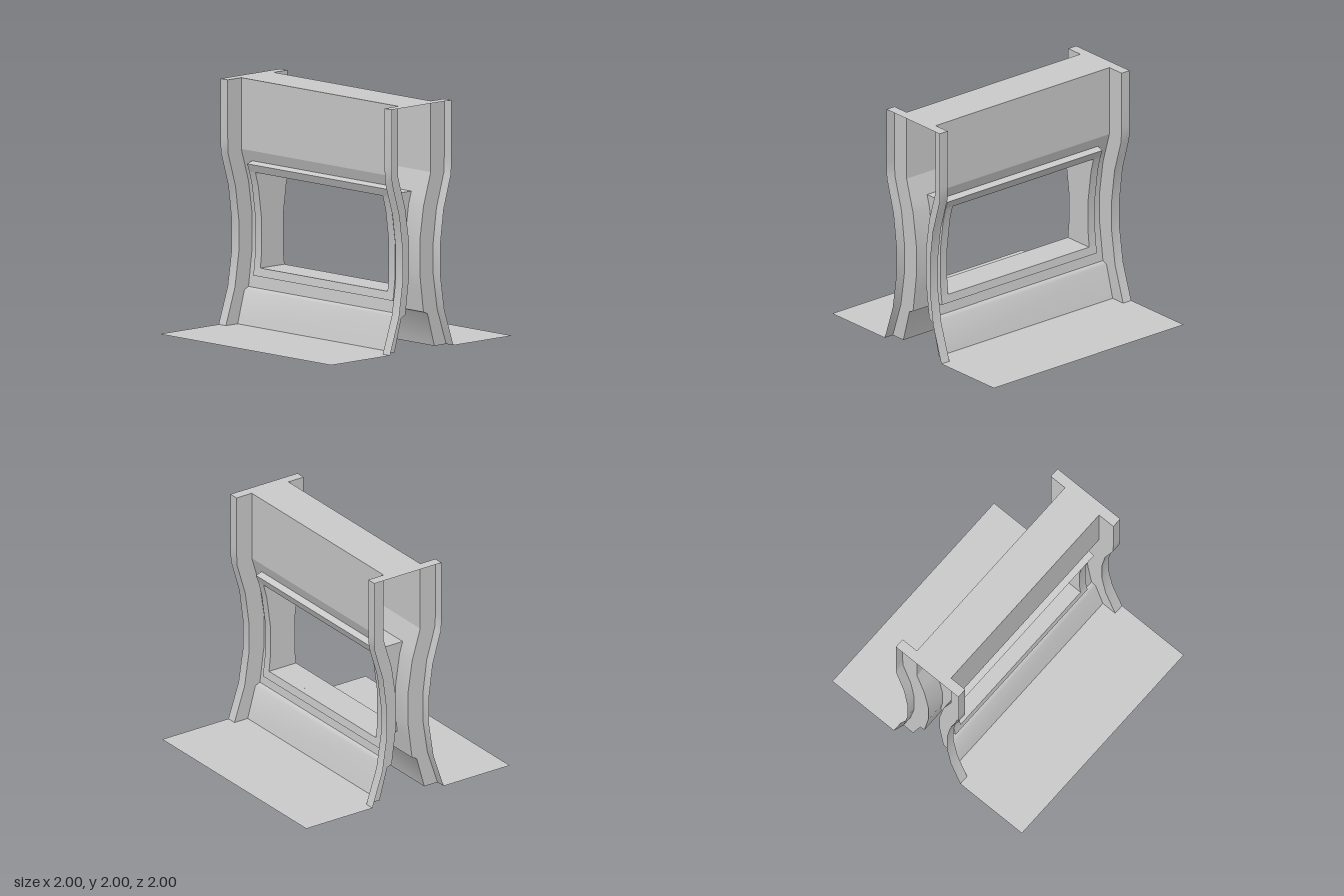
import * as THREE from 'three';

const material = new THREE.MeshStandardMaterial({ color: 0xcccccc, side: THREE.DoubleSide });

// Cross-sections as [y, z] from bottom to top
const panelCurve = [[0, 0.22], [0.27, 0.145], [0.29, 0.1], [0.6, 0.06], [0.88, 0.06], [1.15, 0.1], [1.42, 0.18], [2, 0.18]];
const pillarCurve = [[0, 0.35], [0.3, 0.25], [0.58, 0.208], [0.85, 0.208], [1.12, 0.243], [1.4, 0.325], [1.53, 0.33], [2, 0.33]];
const frameCurve = [[0.397, 0.143], [0.465, 0.133], [0.59, 0.12], [0.87, 0.12], [1.13, 0.155], [1.25, 0.187], [1.315, 0.211]];

const PANEL_X = 0.915, FRAME_X = 0.815, HOLE_X = 0.742;
const HOLE_LOW = 0.465, HOLE_HIGH = 1.25, FRAME_LOW = 0.388, FRAME_HIGH = 1.333;

function depthAt(curve, y) {
  for (let i = 1; i < curve.length; i++) {
    const [y0, z0] = curve[i - 1], [y1, z1] = curve[i];
    if (y <= y1) return z0 + (z1 - z0) * (y - y0) / (y1 - y0);
  }
  return curve[curve.length - 1][1];
}

// Part of a curve between two heights
function clip(curve, low, high) {
  const inner = curve.filter(([y]) => y > low + 1e-6 && y < high - 1e-6);
  return [[low, depthAt(curve, low)], ...inner, [high, depthAt(curve, high)]];
}

function addMesh(group, name, geometry) {
  const mesh = new THREE.Mesh(geometry, material);
  mesh.name = name;
  group.add(mesh);
  return mesh;
}

// Sheet swept along x over a [y, z] curve
function sheet(group, name, curve, x0, x1) {
  const positions = [], index = [];
  curve.forEach(([y, z], i) => {
    positions.push(x0, y, z, x1, y, z);
    const a = 2 * i;
    if (i) index.push(a - 2, a - 1, a + 1, a - 2, a + 1, a);
  });
  const geometry = new THREE.BufferGeometry();
  geometry.setAttribute('position', new THREE.Float32BufferAttribute(positions, 3));
  geometry.setIndex(index);
  geometry.computeVertexNormals();
  return addMesh(group, name, geometry);
}

// Flat upright face in the y-z plane between two curves
function sideFace(group, name, outer, inner, x) {
  const outline = [...outer, ...[...inner].reverse()].map(([y, z]) => new THREE.Vector2(z, y));
  const geometry = new THREE.ShapeGeometry(new THREE.Shape(outline));
  geometry.rotateY(-Math.PI / 2).translate(x, 0, 0);
  return addMesh(group, name, geometry);
}

// Flat level face from [x, z] corners
function levelFace(group, name, corners, y) {
  const shape = new THREE.Shape(corners.map(([x, z]) => new THREE.Vector2(x, -z)));
  const geometry = new THREE.ShapeGeometry(shape);
  geometry.rotateX(-Math.PI / 2).translate(0, y, 0);
  return addMesh(group, name, geometry);
}

function buildHalf() {
  const half = new THREE.Group();

  // Wall panel around the window opening
  sheet(half, 'baseboard', clip(panelCurve, 0, 0.29), -PANEL_X, PANEL_X);
  sheet(half, 'lowerPanel', clip(panelCurve, 0.29, HOLE_LOW), -PANEL_X, PANEL_X);
  sheet(half, 'panelAboveWindow', clip(panelCurve, HOLE_HIGH, 1.42), -PANEL_X, PANEL_X);
  sheet(half, 'upperPanel', clip(panelCurve, 1.42, 2), -PANEL_X, PANEL_X);

  // Window frame bars and their edges
  const frameBase = clip(panelCurve, FRAME_LOW, FRAME_HIGH);
  const frameBottom = frameCurve[0], frameTop = frameCurve[frameCurve.length - 1];
  sheet(half, 'frameBottomBar', clip(frameCurve, frameBottom[0], HOLE_LOW), -FRAME_X, FRAME_X);
  sheet(half, 'frameTopBar', clip(frameCurve, HOLE_HIGH, frameTop[0]), -FRAME_X, FRAME_X);
  sheet(half, 'frameBottomEdge', [frameBase[0], frameBottom], -FRAME_X, FRAME_X);
  sheet(half, 'frameTopEdge', [frameTop, frameBase[frameBase.length - 1]], -FRAME_X, FRAME_X);

  // Window tunnel floor and ceiling
  for (const [name, y] of [['windowSill', HOLE_LOW], ['windowHead', HOLE_HIGH]]) {
    sheet(half, name, [[y, 0], [y, depthAt(frameCurve, y)]], -HOLE_X, HOLE_X);
  }

  // Parts mirrored left and right
  const holePanel = clip(panelCurve, HOLE_LOW, HOLE_HIGH);
  const holeFrame = clip(frameCurve, HOLE_LOW, HOLE_HIGH);
  for (const [side, s] of [['left', 1], ['right', -1]]) {
    const strip = (name, curve, xa, xb) =>
      sheet(half, side + name, curve, Math.min(s * xa, s * xb), Math.max(s * xa, s * xb));
    strip('PanelBesideWindow', holePanel, HOLE_X, PANEL_X);
    strip('FrameBar', holeFrame, HOLE_X, FRAME_X);
    strip('PillarFront', pillarCurve, PANEL_X, 1);
    sideFace(half, side + 'PillarSide', pillarCurve, panelCurve, s * PANEL_X);
    sideFace(half, side + 'FrameEdge', frameCurve, frameBase, s * FRAME_X);
    sideFace(half, side + 'WindowJamb', holeFrame, [[HOLE_LOW, 0], [HOLE_HIGH, 0]], s * HOLE_X);
  }

  // Floor and top cap, stepped around the pillars
  levelFace(half, 'floor', [[-1, 1], [1, 1], [1, 0.35], [PANEL_X, 0.35], [PANEL_X, 0.22],
    [-PANEL_X, 0.22], [-PANEL_X, 0.35], [-1, 0.35]], 0);
  levelFace(half, 'topCap', [[-1, 0], [-1, 0.33], [-PANEL_X, 0.33], [-PANEL_X, 0.18],
    [PANEL_X, 0.18], [PANEL_X, 0.33], [1, 0.33], [1, 0]], 2);
  return half;
}

export function createModel() {
  const model = new THREE.Group();
  model.name = 'windowWallSection';
  const front = buildHalf();
  front.name = 'frontHalf';
  const back = buildHalf();
  back.name = 'backHalf';
  back.rotation.y = Math.PI;
  model.add(front, back);
  return model;
}
